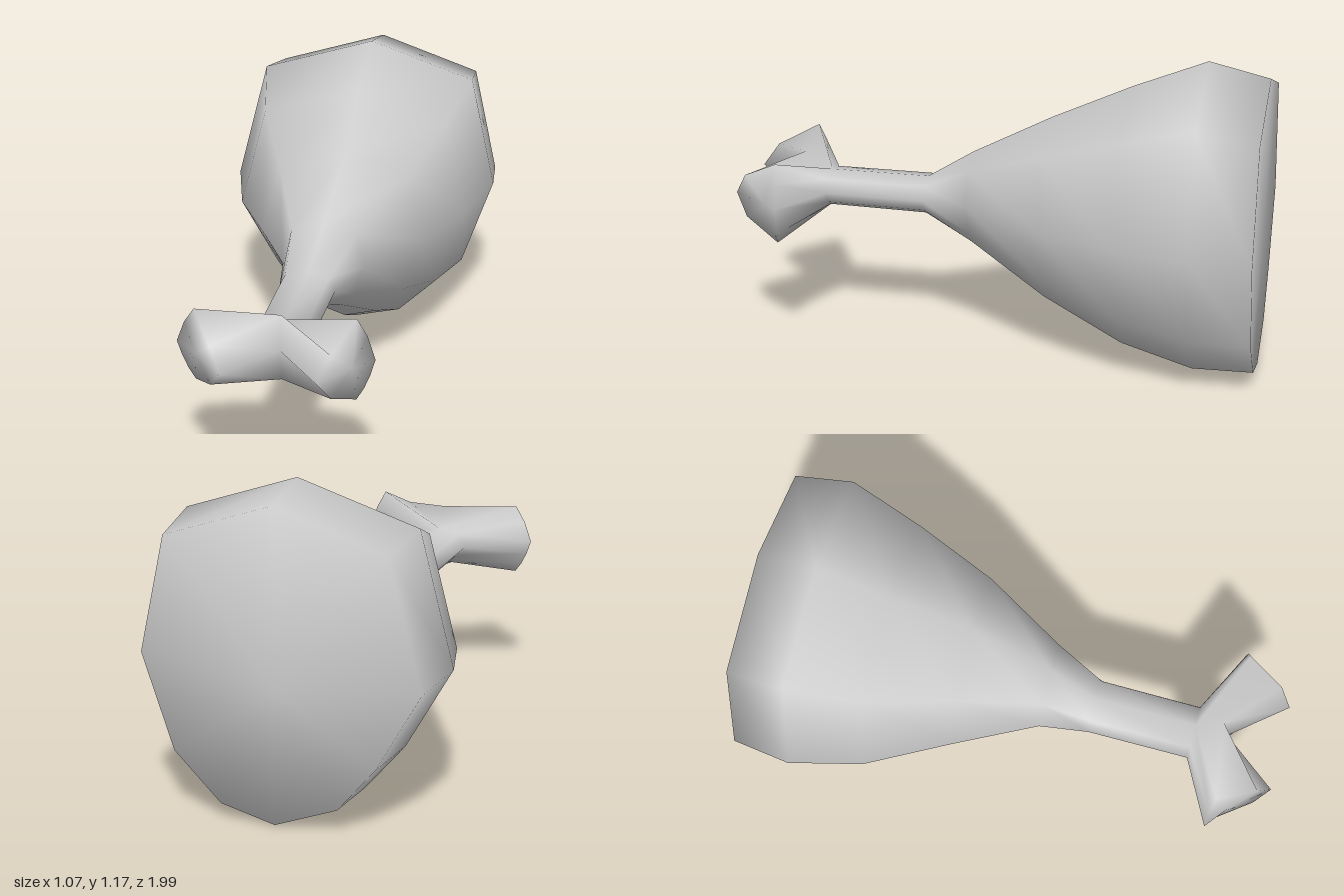
import * as THREE from 'three';

// Lopsided ten-sided cross-section of the meat, clockwise from the top as seen from the front
const SECTION = [
  [0.02, 1.17], [0.43, 1.035], [0.53, 0.595], [0.41, 0.235], [0.23, 0.055],
  [0.02, 0], [-0.22, 0.09], [-0.365, 0.26], [-0.535, 0.555], [-0.415, 1.03],
];

// Sections from the thick back to the end of the bone: z, xMin, xMax, yMin, yMax
const STATIONS = [
  [-0.995, -0.5, 0.51, 0.005, 1.12],
  [-0.77, -0.535, 0.53, 0, 1.17],
  [-0.5, -0.46, 0.45, 0.07, 1.06],
  [-0.2, -0.3, 0.33, 0.225, 0.925],
  [0.1, -0.15, 0.16, 0.41, 0.765],
  [0.285, -0.12, 0.088, 0.505, 0.645],
  [0.665, -0.12, 0.085, 0.51, 0.645],
];

// End outline of one knuckle, from its top over the outer side to its bottom, then round the tip
const KNUCKLE_END = [
  [0.27, 0.747, 0.8], [0.305, 0.68, 0.79], [0.332, 0.59, 0.785],
  [0.315, 0.53, 0.788], [0.295, 0.48, 0.793], [0.27, 0.437, 0.8],
  [0.21, 0.51, 0.94], [0.17, 0.59, 0.99], [0.21, 0.675, 0.94],
];

export function createModel() {
  const positions = [];
  const index = [];
  const addPoint = (p) => positions.push(...p) / 3 - 1;

  // Skin between two rings, the second one lying further forward
  const skin = (back, front) => back.forEach((a, j) => {
    const n = (j + 1) % back.length;
    const b = back[n], c = front[j], d = front[n];
    index.push(a, c, b, b, c, d);
  });

  const cap = (ring, facesForward) => {
    const centre = [0, 0, 0];
    ring.forEach((i) => centre.forEach((_, k) => { centre[k] += positions[i * 3 + k] / ring.length; }));
    const m = addPoint(centre);
    ring.forEach((a, j) => {
      const b = ring[(j + 1) % ring.length];
      if (facesForward) index.push(m, b, a);
      else index.push(m, a, b);
    });
  };

  // Meat and bone shaft
  const rings = STATIONS.map(([z, x0, x1, y0, y1]) => SECTION.map(([x, y]) => addPoint([
    x0 + (x1 - x0) * (x + 0.535) / 1.065,
    y0 + (y1 - y0) * y / 1.17,
    z,
  ])));
  cap(rings[0], false);
  for (let i = 1; i < rings.length; i++) skin(rings[i - 1], rings[i]);

  // Forked bone end: both knuckles share the valley between them
  const s = rings[rings.length - 1];
  const valleyTop = addPoint([0, 0.715, 0.765]);
  const crotch = addPoint([0, 0.59, 0.79]);
  const valleyBottom = addPoint([0, 0.465, 0.765]);

  const leftBase = [s[0], s[1], s[2], s[3], s[4], s[5], valleyBottom, crotch, valleyTop];
  const leftEnd = KNUCKLE_END.map(addPoint);
  skin(leftBase, leftEnd);
  cap(leftEnd, true);

  const rightBase = [s[5], s[6], s[7], s[8], s[9], s[0], valleyTop, crotch, valleyBottom];
  const rightEnd = [5, 4, 3, 2, 1, 0, 8, 7, 6].map((i) => {
    const [x, y, z] = KNUCKLE_END[i];
    // this knuckle is a little wider and lower
    return addPoint([-x * 1.1 + (i > 5 ? 0.025 : 0), 0.59 + (y - 0.59) * 0.88, z + 0.005]);
  });
  skin(rightBase, rightEnd);
  cap(rightEnd, true);

  const geometry = new THREE.BufferGeometry();
  geometry.setAttribute('position', new THREE.Float32BufferAttribute(positions, 3));
  geometry.setIndex(index);
  geometry.computeVertexNormals();

  const mesh = new THREE.Mesh(geometry, new THREE.MeshStandardMaterial({ color: 0xcccccc }));
  mesh.name = 'drumstick';
  const group = new THREE.Group();
  group.name = 'meatOnBone';
  group.add(mesh);
  return group;
}
